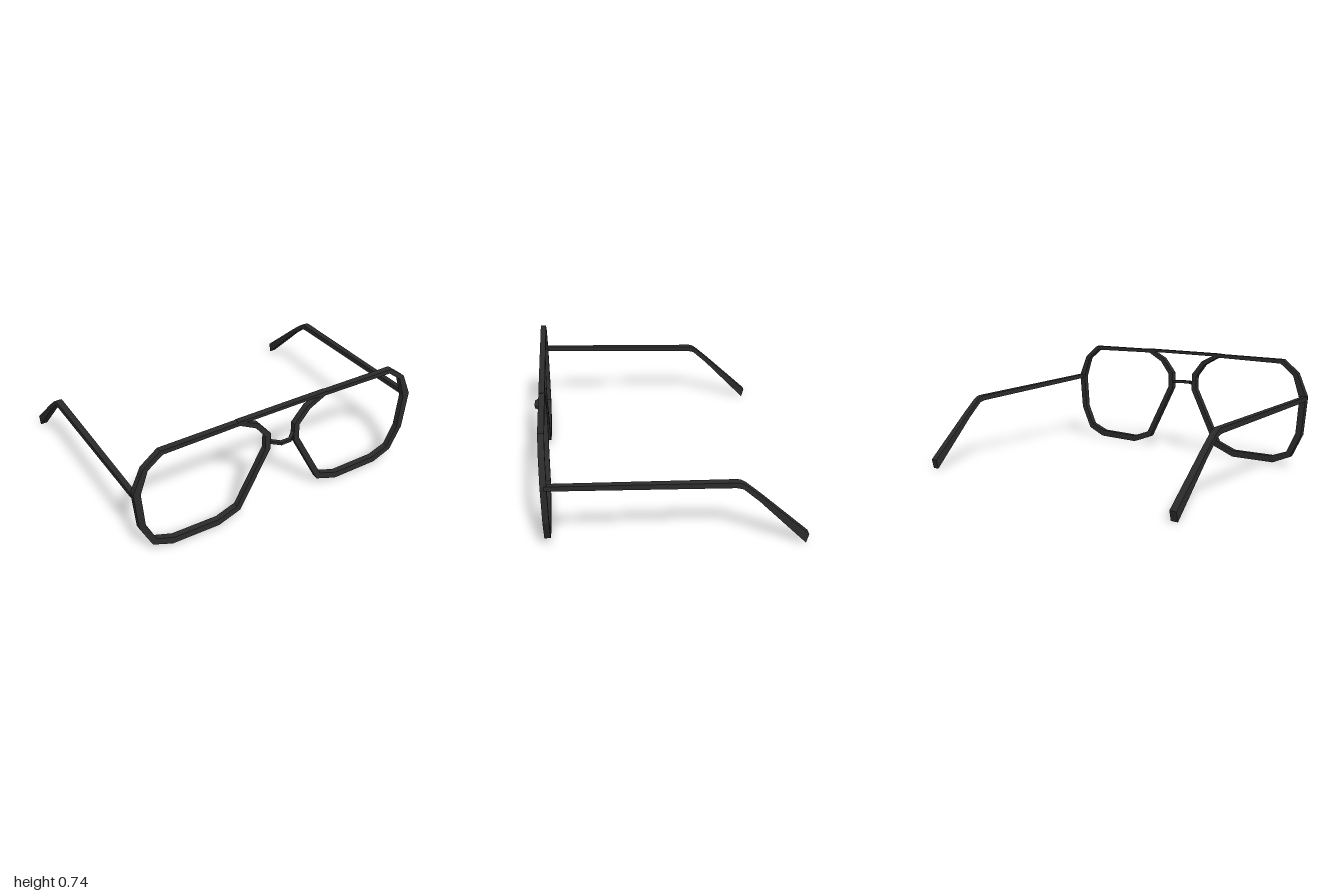
import * as THREE from 'three';

const material = new THREE.MeshStandardMaterial({ color: 0x2b2b2b, flatShading: true });

// Flat outline, optionally with a hole wound the opposite way, extruded by depth along +z
function extrude(points, depth, hole) {
  const toVectors = (list) => list.map(([x, y]) => new THREE.Vector2(x, y));
  const shape = new THREE.Shape(toVectors(points));
  if (hole) shape.holes.push(new THREE.Path(toVectors(hole)));
  return new THREE.ExtrudeGeometry(shape, { depth, bevelEnabled: false });
}

function part(name, geometry) {
  const mesh = new THREE.Mesh(geometry, material);
  mesh.name = name;
  return mesh;
}

const RIM_BACK = 0.72;
const RIM_DEPTH = 0.037;

// Outer edge of one lens rim, clockwise
const rimOuter = [
  [0.29, 0.733], [0.81, 0.73], [0.92, 0.643], [0.987, 0.49], [0.963, 0.23], [0.885, 0.07], [0.757, 0.015],
  [0.437, 0.011], [0.287, 0.068], [0.085, 0.458], [0.085, 0.573], [0.168, 0.673],
];
// Inner edge, counter-clockwise
const rimInner = [
  [0.191, 0.65], [0.121, 0.561], [0.121, 0.466], [0.311, 0.103], [0.44, 0.055], [0.742, 0.059],
  [0.858, 0.103], [0.922, 0.24], [0.941, 0.476], [0.89, 0.627], [0.795, 0.701], [0.3, 0.709],
];

// Side profile of a temple arm as [-z, y]
const templeProfile = [
  [-0.735, 0.464], [0.35, 0.414], [0.39, 0.403], [0.49, 0.311], [0.785, 0],
  [0.8, 0.061], [0.5, 0.344], [0.41, 0.424], [0.385, 0.441], [0.36, 0.448], [-0.735, 0.494],
];

function templeGeometry(side) {
  const geometry = extrude(templeProfile, 1).translate(0, 0, -0.5).rotateY(Math.PI / 2);
  const p = geometry.attributes.position;
  // The arm widens towards its tip
  for (let i = 0; i < p.count; i++) {
    const t = (0.735 - p.getZ(i)) / 1.535;
    p.setX(i, p.getX(i) * THREE.MathUtils.lerp(0.032, 0.046, t) + side * 0.977);
  }
  geometry.computeVertexNormals();
  return geometry;
}

export function createModel() {
  const model = new THREE.Group();
  model.name = 'glasses';

  for (const [label, side] of [['left', 1], ['right', -1]]) {
    const mirror = (list) => list.map(([x, y]) => [side * x, y]);
    const rim = part(label + 'Rim', extrude(mirror(rimOuter), RIM_DEPTH, mirror(rimInner)));
    rim.position.z = RIM_BACK;
    model.add(rim, part(label + 'Temple', templeGeometry(side)));
  }

  // Straight bar joining the rims along the top
  const topBar = part('topBar', new THREE.BoxGeometry(0.62, 0.02, RIM_DEPTH));
  topBar.position.set(0, 0.726, RIM_BACK + RIM_DEPTH / 2);
  model.add(topBar);

  // Nose bridge bowed forwards, drawn as [x, -z] and laid flat
  const bridgeProfile = [
    [-0.1, -0.735], [-0.085, -0.755], [-0.035, -0.8], [0.035, -0.8], [0.085, -0.755], [0.1, -0.735],
    [0.075, -0.735], [0.027, -0.778], [-0.027, -0.778], [-0.075, -0.735],
  ];
  const bridge = part('noseBridge', extrude(bridgeProfile, 0.02).rotateX(-Math.PI / 2));
  bridge.position.y = 0.493;
  model.add(bridge);

  return model;
}
